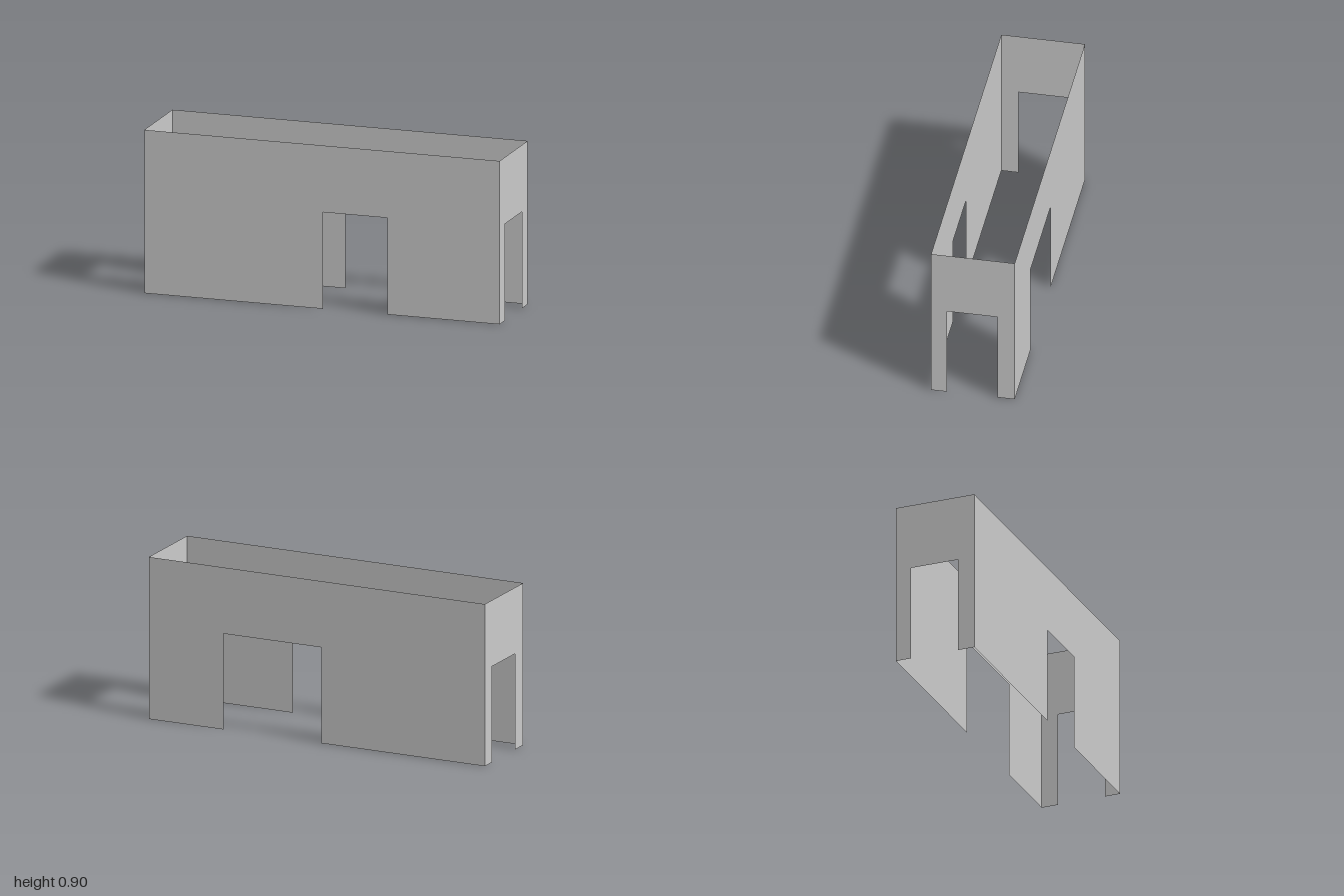
import * as THREE from 'three';

const LENGTH = 2, DEPTH = 0.452, HEIGHT = 0.896, DOOR_HEIGHT = 0.53;

const material = new THREE.MeshStandardMaterial({
  color: 0xcccccc, flatShading: true, side: THREE.DoubleSide,
});

// Flat wall, centred on x, with a doorway cut up from the floor between a and b
function wall(name, width, a, b) {
  const w = width / 2;
  const outline = [
    [-w, 0], [a, 0], [a, DOOR_HEIGHT], [b, DOOR_HEIGHT], [b, 0],
    [w, 0], [w, HEIGHT], [-w, HEIGHT],
  ].map(([x, y]) => new THREE.Vector2(x, y));
  const mesh = new THREE.Mesh(new THREE.ShapeGeometry(new THREE.Shape(outline)), material);
  mesh.name = name;
  return mesh;
}

export function createModel() {
  const group = new THREE.Group();
  group.name = 'openWalledBuilding';

  // Long walls, the back one with the wider doorway
  const front = wall('frontWall', LENGTH, 0.007, 0.37);
  front.position.z = DEPTH / 2;

  const back = wall('backWall', LENGTH, -0.554, 0.027);
  back.rotation.y = Math.PI;
  back.position.z = -DEPTH / 2;

  // End walls, turned outwards; their doorways sit slightly off centre
  const left = wall('leftEndWall', DEPTH, -0.14, 0.132);
  left.rotation.y = Math.PI / 2;
  left.position.x = LENGTH / 2;

  const right = wall('rightEndWall', DEPTH, -0.14, 0.132);
  right.rotation.y = -Math.PI / 2;
  right.position.x = -LENGTH / 2;

  group.add(front, back, left, right);
  return group;
}
